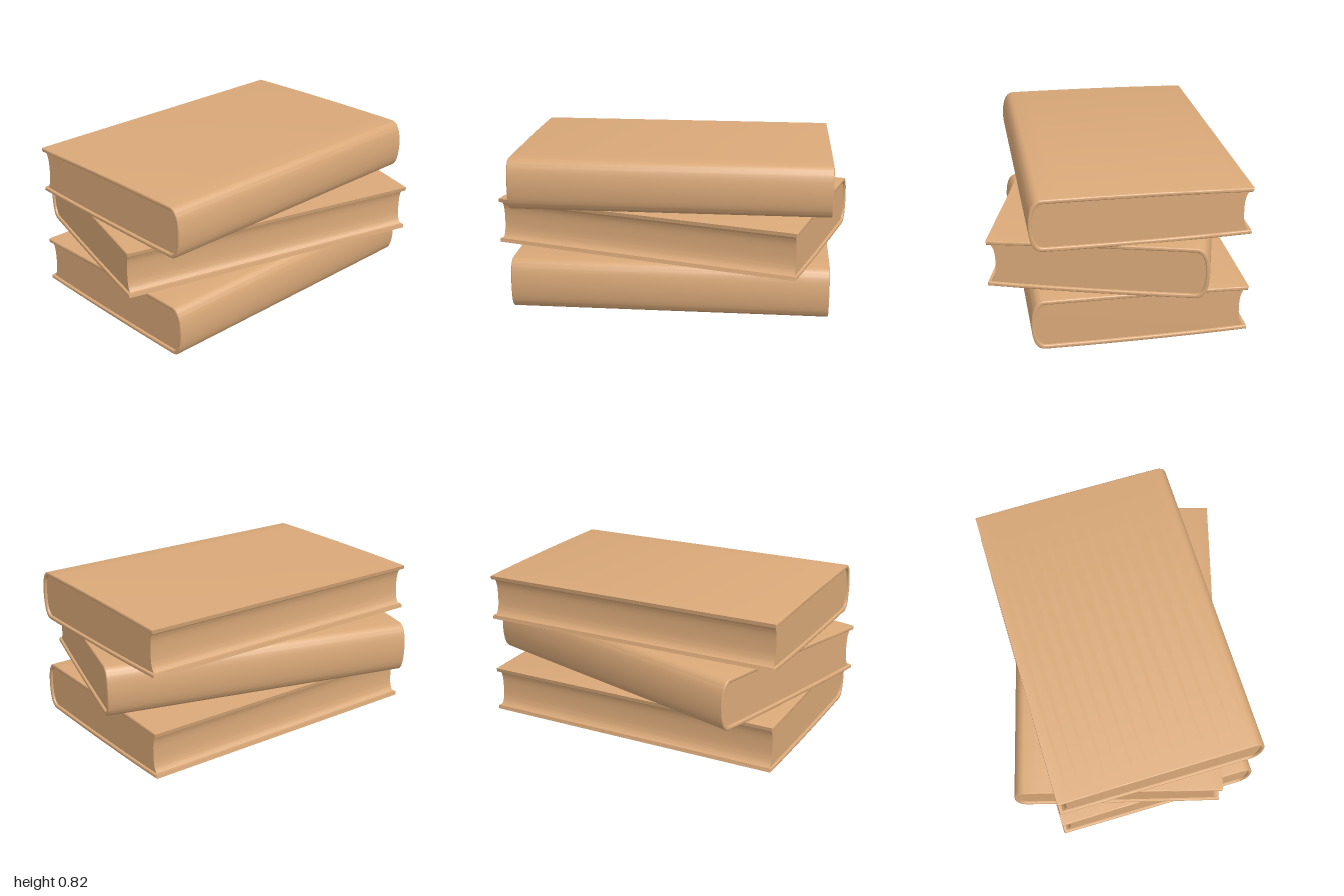
import * as THREE from 'three';
import { toCreasedNormals } from 'three/addons/utils/BufferGeometryUtils.js';

const LENGTH = 1.67;
const material = new THREE.MeshStandardMaterial({ color: 0xd9a878 });

// Extrude a cross-section along z, centred, with a small softened rim
function extrudeCentred(shape, length, bevel) {
  const geometry = new THREE.ExtrudeGeometry(shape, {
    depth: length - 2 * bevel,
    bevelEnabled: bevel > 0,
    bevelThickness: bevel,
    bevelSize: bevel,
    bevelOffset: -bevel,
    bevelSegments: 3,
    curveSegments: 14,
  });
  geometry.translate(0, 0, -length / 2 + bevel);
  return toCreasedNormals(geometry, 0.7);
}

// Hard cover: two tapering boards joined by a rounded spine at +x
function coverShape() {
  const s = new THREE.Shape();
  s.moveTo(-0.552, 0.018);
  s.quadraticCurveTo(-0.1, 0.0, 0.49, 0.004);
  s.bezierCurveTo(0.535, 0.006, 0.555, 0.05, 0.557, 0.14);
  s.bezierCurveTo(0.555, 0.23, 0.535, 0.274, 0.49, 0.276);
  s.quadraticCurveTo(-0.1, 0.278, -0.552, 0.264);
  s.lineTo(-0.548, 0.244);
  s.quadraticCurveTo(-0.1, 0.257, 0.485, 0.255);
  s.bezierCurveTo(0.52, 0.25, 0.535, 0.22, 0.537, 0.14);
  s.bezierCurveTo(0.535, 0.06, 0.52, 0.03, 0.485, 0.025);
  s.quadraticCurveTo(-0.1, 0.021, -0.548, 0.038);
  s.closePath();
  return s;
}

// Page block: fills the cover, with a hollow fore-edge at -x
function pagesShape() {
  const s = new THREE.Shape();
  s.moveTo(-0.542, 0.032);
  s.quadraticCurveTo(-0.1, 0.015, 0.488, 0.018);
  s.bezierCurveTo(0.526, 0.024, 0.543, 0.06, 0.545, 0.14);
  s.bezierCurveTo(0.543, 0.22, 0.526, 0.256, 0.488, 0.262);
  s.quadraticCurveTo(-0.1, 0.263, -0.542, 0.25);
  s.bezierCurveTo(-0.515, 0.235, -0.508, 0.2, -0.508, 0.141);
  s.bezierCurveTo(-0.508, 0.082, -0.515, 0.047, -0.542, 0.032);
  return s;
}

export function createModel() {
  const model = new THREE.Group();
  const coverGeometry = extrudeCentred(coverShape(), LENGTH, 0.006);
  const pagesGeometry = extrudeCentred(pagesShape(), LENGTH - 0.026, 0);

  // Stack of three; the middle book is turned with its spine the other way
  const books = [
    { name: 'bottomBook', y: 0, turn: -0.245 },
    { name: 'middleBook', y: 0.276, turn: Math.PI - 0.517 },
    { name: 'topBook', y: 0.543, turn: -0.245 },
  ];
  for (const { name, y, turn } of books) {
    const book = new THREE.Group();
    book.name = name;
    const cover = new THREE.Mesh(coverGeometry, material);
    cover.name = 'cover';
    const pages = new THREE.Mesh(pagesGeometry, material);
    pages.name = 'pages';
    book.add(cover, pages);
    book.position.y = y;
    book.rotation.y = turn;
    model.add(book);
  }
  return model;
}
